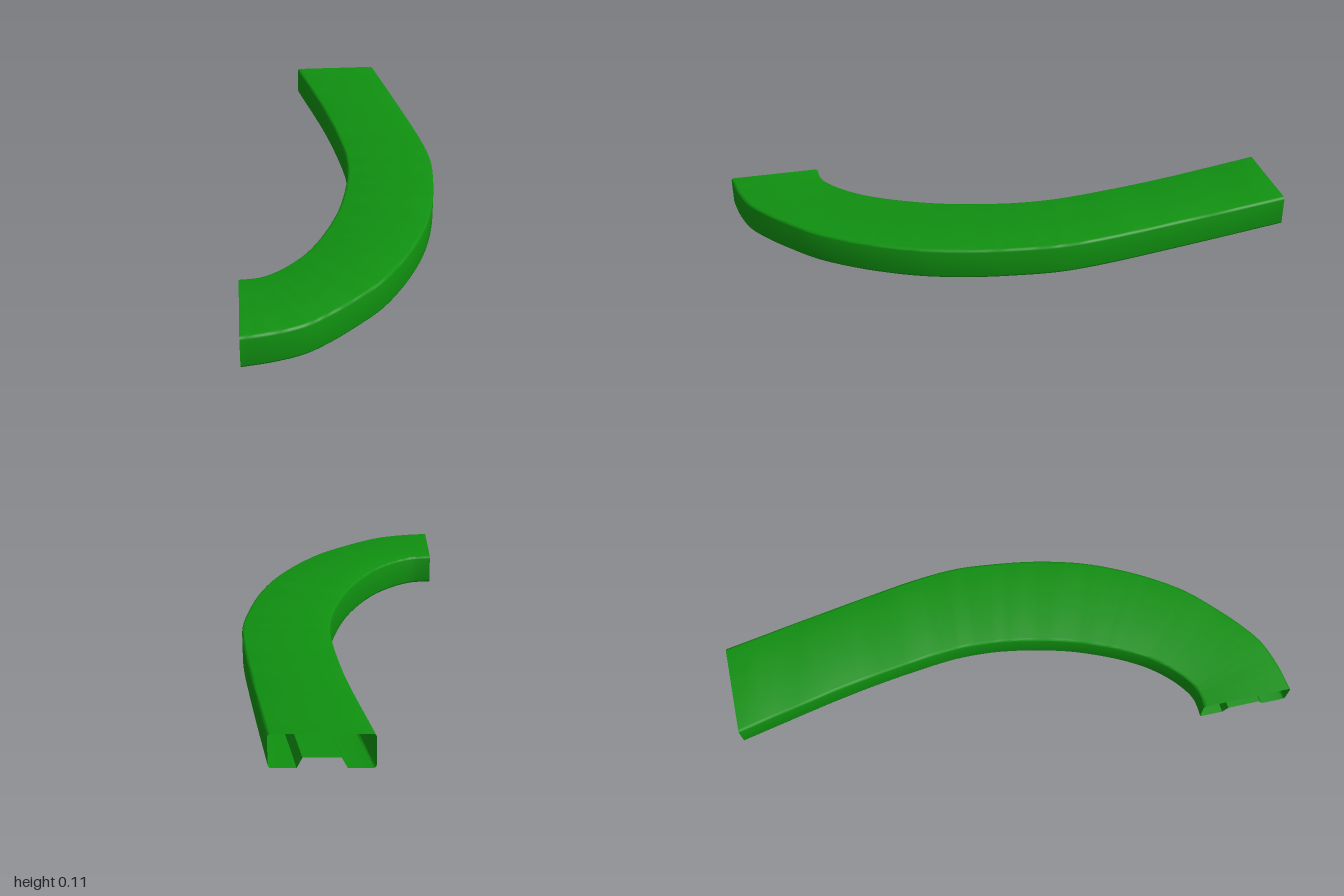
import * as THREE from 'three';
import { toCreasedNormals } from 'three/addons/utils/BufferGeometryUtils.js';

// Plan-view edges as [x, z] pairs, matched across the width
const OUTER = [[0.23, -1], [0.3, -0.6], [0.355, -0.25], [0.365, -0.1], [0.355, 0.03],
  [0.33, 0.2], [0.285, 0.37], [0.23, 0.5], [0.17, 0.61], [0.09, 0.725], [0, 0.815],
  [-0.08, 0.885], [-0.167, 0.945], [-0.27, 0.98], [-0.37, 0.998]];
const INNER = [[-0.1, -1], [-0.003, -0.54], [0.042, -0.21], [0.045, -0.12], [0.037, 0],
  [0.012, 0.14], [-0.02, 0.26], [-0.06, 0.365], [-0.1, 0.45], [-0.145, 0.525], [-0.195, 0.585],
  [-0.245, 0.63], [-0.295, 0.66], [-0.335, 0.668], [-0.37, 0.67]];

const edgeCurve = (pts) =>
  new THREE.CatmullRomCurve3(pts.map(([x, z]) => new THREE.Vector3(x, 0, z)));

// Closed cross-section: u runs 0 (outer wall) to 1 (inner wall), y is height
function crossSection() {
  const bottom = 0.002, top = 0.116, r = 0.01, ru = r / 0.32;
  const half = [[0.32, 0.037], [0.265, bottom]]; // groove slope and lip
  const arc = (cy, from) => {
    for (let k = 0; k <= 3; k++) {
      const a = from - (k / 3) * Math.PI / 2;
      half.push([ru + ru * Math.cos(a), cy + r * Math.sin(a)]);
    }
  };
  arc(bottom + r, Math.PI * 1.5);
  arc(top - r, Math.PI);
  const mirrored = half.map(([u, y]) => [1 - u, y]).reverse();
  return [...half, ...mirrored];
}

// Hollow curved rail, open at both ends, grooved underneath
function railGeometry(segments = 56) {
  const outer = edgeCurve(OUTER), inner = edgeCurve(INNER);
  const section = crossSection(), n = section.length;
  const positions = [], indices = [];
  for (let i = 0; i <= segments; i++) {
    const a = outer.getPoint(i / segments), b = inner.getPoint(i / segments);
    for (const [u, y] of section) {
      const p = a.clone().lerp(b, u);
      positions.push(p.x, y, p.z);
    }
  }
  for (let i = 0; i < segments; i++) {
    for (let j = 0; j < n; j++) {
      const a = i * n + j, b = i * n + (j + 1) % n;
      indices.push(a, b, a + n, b, b + n, a + n);
    }
  }
  const geometry = new THREE.BufferGeometry();
  geometry.setAttribute('position', new THREE.Float32BufferAttribute(positions, 3));
  geometry.setIndex(indices);
  return toCreasedNormals(geometry, 0.65);
}

export function createModel() {
  const group = new THREE.Group();
  group.name = 'curvedRail';
  const green = new THREE.MeshStandardMaterial({ color: 0x109010, side: THREE.DoubleSide });
  const rail = new THREE.Mesh(railGeometry(), green);
  rail.name = 'railShell';
  group.add(rail);
  return group;
}
